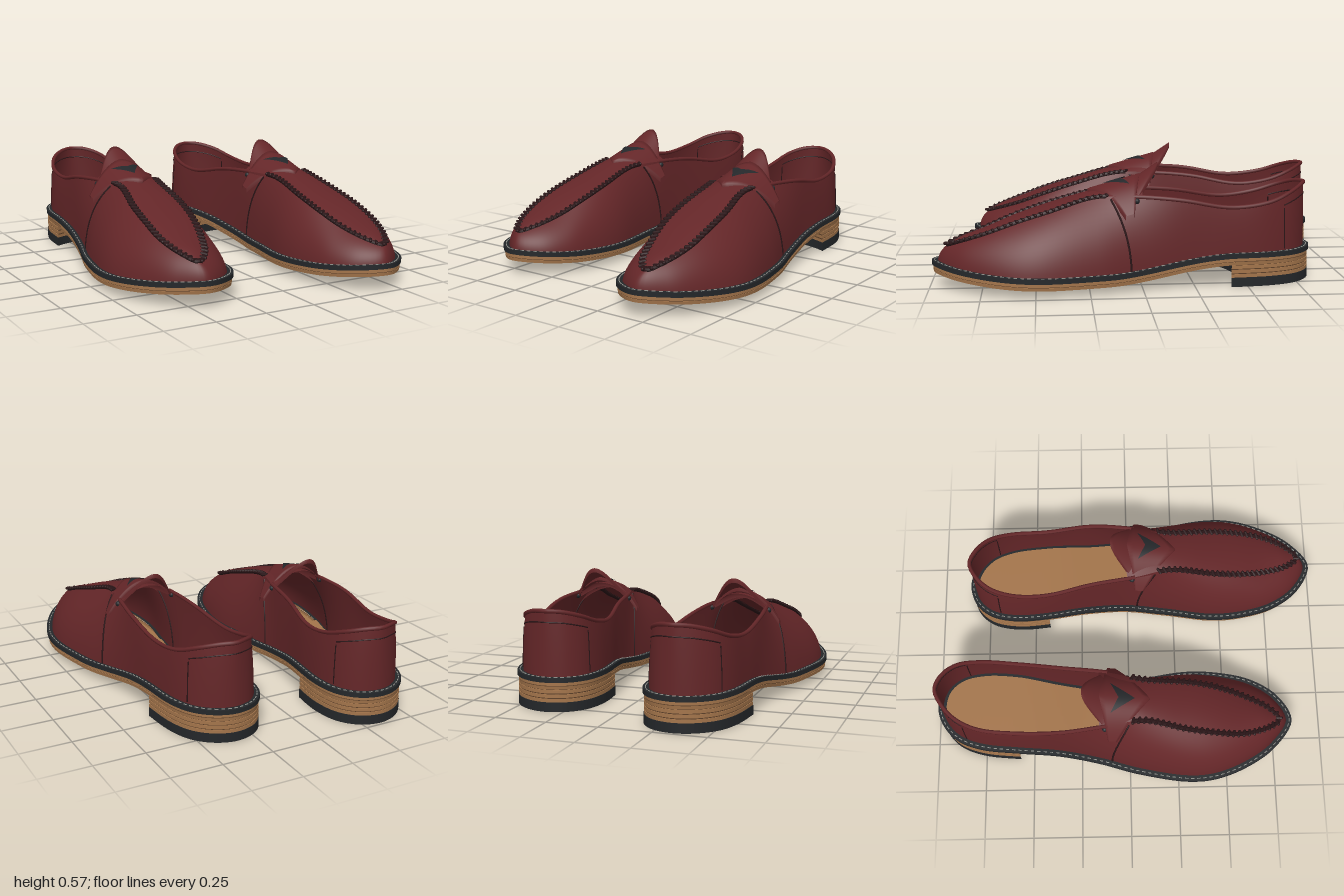
import * as THREE from 'three';
import { mergeGeometries, mergeVertices } from 'three/addons/utils/BufferGeometryUtils.js';

const mat = (name, color) => {
  const m = new THREE.MeshStandardMaterial({ color, side: THREE.DoubleSide });
  m.name = name;
  return m;
};
const V = (x, y, z) => new THREE.Vector3(x, y, z);
const lerp = THREE.MathUtils.lerp;
const smooth = THREE.MathUtils.smoothstep;

// Matching points from the toe, round the outer side, the heel and the inner side:
// sole outline x, z, then the upper's top edge x, y, z
const POINTS = [
  [.435, .99, .45, .20, .915], [.57, .90, .50, .225, .85], [.66, .77, .54, .27, .72],
  [.725, .60, .545, .32, .58], [.737, .45, .535, .365, .43], [.695, .2, .505, .425, .22],
  [.64, 0, .53, .43, .04], [.605, -.2, .555, .415, -.18], [.59, -.42, .545, .375, -.42],
  [.565, -.62, .525, .395, -.61], [.515, -.74, .475, .435, -.72], [.43, -.815, .40, .46, -.785],
  [.335, -.84, .335, .465, -.81], [.235, -.81, .265, .46, -.78], [.165, -.73, .205, .435, -.71],
  [.135, -.6, .178, .395, -.59], [.145, -.42, .185, .375, -.42], [.185, -.2, .225, .415, -.18],
  [.205, 0, .255, .43, .04], [.185, .2, .295, .425, .22], [.15, .45, .295, .365, .45],
  [.16, .62, .31, .315, .6], [.205, .79, .345, .26, .74], [.3, .925, .395, .22, .86],
];
const N = POINTS.length;
const outlineCurve = new THREE.CatmullRomCurve3(POINTS.map(p => V(p[0], 0, p[1])), true);
const topCurve = new THREE.CatmullRomCurve3(POINTS.map(p => V(p[2], p[3], p[4])), true);
const wrap = u => (((u % N) + N) % N) / N;
const top = u => topCurve.getPoint(wrap(u));

// Outward direction of the outline, and the outline moved along it
const outward = u => {
  const t = outlineCurve.getTangent(wrap(u));
  return V(-t.z, 0, t.x).normalize();
};
const outline = (u, offset) => outlineCurve.getPoint(wrap(u)).addScaledVector(outward(u), offset);

// Underside of the sole: toe spring in front, arch rising to the heel
const soleY = z => .035 + .07 * (1 - smooth(z, -.45, .15)) + (z > .4 ? .04 * ((z - .4) / .6) ** 2 : 0);
const WELT = .055;

// Side wall of the upper, v from the welt to the top edge
function wall(u, v) {
  const b = outline(u, -.028), t = top(u);
  b.y = soleY(b.z) + WELT - .005;
  const m = b.clone().lerp(t, .13);
  m.y = lerp(b.y, t.y, .6);
  return b.multiplyScalar((1 - v) ** 2).addScaledVector(m, 2 * v * (1 - v)).addScaledVector(t, v * v);
}

// Grid surface from f(a, b), both from 0 to 1
function surface(f, na, nb) {
  const pos = [], index = [];
  for (let i = 0; i <= na; i++) for (let j = 0; j <= nb; j++) {
    pos.push(...f(i / na, j / nb).toArray());
    if (i < na && j < nb) {
      const k = i * (nb + 1) + j;
      index.push(k, k + nb + 1, k + 1, k + 1, k + nb + 1, k + nb + 2);
    }
  }
  let g = new THREE.BufferGeometry();
  g.setAttribute('position', new THREE.Float32BufferAttribute(pos, 3));
  g.setIndex(index);
  g = mergeVertices(g, 1e-5);
  g.computeVertexNormals();
  return g;
}
// Surface with its b edges turned down, for a thick look
const plate = (f, na, nb, drop) => surface((a, b) => {
  const j = Math.round(b * (nb + 2));
  const p = f(a, THREE.MathUtils.clamp((j - 1) / nb, 0, 1));
  if (j === 0 || j === nb + 2) p.y -= drop;
  return p;
}, na, nb + 2);
// Strip round the sole between two offsets and heights above its underside
const band = (o0, h0, o1, h1) => surface((a, b) => {
  const p = outline(a * N, lerp(o0, o1, b));
  p.y = soleY(p.z) + lerp(h0, h1, b);
  return p;
}, 144, 1);
// Filled sole shape, from station s0 back to the heel
const cap = (offset, h, s0) => surface((a, b) => {
  const s = lerp(s0, N / 2, a);
  const p = outline(s, offset).lerp(outline(N - s, offset), b);
  p.y = soleY(p.z) + h;
  return p;
}, 60, 8);
const tube = (f, r, n) => new THREE.TubeGeometry(
  new THREE.CatmullRomCurve3(Array.from({ length: n + 1 }, (_, i) => f(i / n))), n * 2, r, 6);

// Heel block layer with a hollowed breast
function heelLayer(offset, y0, y1) {
  const pts = [];
  for (let i = 0; i <= 48; i++) {
    const p = outline(8 + i / 6, offset);
    pts.push(new THREE.Vector2(p.x, p.z));
  }
  const a = pts[48], b = pts[0];
  for (let i = 1; i < 12; i++) {
    const t = i / 12;
    pts.push(new THREE.Vector2(lerp(a.x, b.x, t), lerp(a.y, b.y, t) - .24 * t * (1 - t)));
  }
  return new THREE.ExtrudeGeometry(new THREE.Shape(pts), { depth: y1 - y0, bevelEnabled: false })
    .rotateX(Math.PI / 2).translate(0, y1, 0);
}

const flapY = (x, z) => .522 - .28 * z - .15 * ((x - .4) / .19) ** 2;

function buildShoe(M) {
  const shoe = new THREE.Group();
  const add = (name, geo, material) => {
    const m = new THREE.Mesh(geo, material);
    m.name = name;
    shoe.add(m);
  };

  // Sole layers and welt
  add('outsole', cap(-.008, 0, 0), M.tan);
  add('soleEdgeLower', band(-.008, 0, -.006, .015), M.tan);
  add('soleEdgeLine', band(-.009, .015, -.009, .018), M.brown);
  add('soleEdgeUpper', band(-.006, .018, -.006, .033), M.tan);
  add('weltUnderside', band(-.012, .033, 0, .033), M.black);
  add('weltEdge', band(0, .033, 0, WELT), M.black);
  add('weltTop', band(0, WELT, -.045, WELT), M.black);
  add('insole', cap(-.045, WELT + .01, 5), M.tan);

  // Stacked heel
  add('heelTip', heelLayer(-.004, 0, .045), M.black);
  for (let i = 0; i < 3; i++) {
    const y = .045 + i * .021;
    add('heelLayer', heelLayer(-.006, y, y + .016), M.tan);
    add('heelLayerLine', heelLayer(-.01, y + .016, y + .021), M.brown);
  }

  // Upper: side wall, apron, collar roll
  add('upper', surface((a, b) => wall(a * N, b), 144, 14), M.leather);
  add('apron', surface((a, b) => {
    const k = a * 6.2, p = top(k).lerp(top(N - k), b);
    p.y += (.015 + .045 * smooth(a, .75, 1)) * Math.min(1, 5 * a) * 4 * b * (1 - b);
    return p;
  }, 40, 14), M.leather);
  add('collar', tube(t => top(lerp(6, 18, t)), .01, 40), M.leather);

  // Tongue rising behind the flap
  add('tongue', plate((b, a) => {
    const bell = Math.sin(Math.PI * b) ** 1.2;
    return V(lerp(.255, .535, b), .425 + bell * (.06 + .09 * a), .05 - a * (.03 + .105 * bell));
  }, 24, 8, .022), M.leather);

  // Pointed flap across the instep with its dark inset
  add('instepFlap', plate((a, b) => {
    const w = a * 2 - 1, x = .4 + .19 * w;
    const z = lerp(.25 - .17 * Math.abs(w), .04 * Math.abs(w), b);
    return V(x, flapY(x, z), z);
  }, 24, 8, .022), M.leather);
  add('flapInset', surface((a, b) => {
    const r = 1 - Math.abs(2 * a - 1), x = lerp(.33, .48, a), z = .055 + lerp(.12, .04, b) * r;
    return V(x, flapY(x, z) + .005, z);
  }, 12, 4), M.black);

  // Side seams, heel stitching and strap studs, on both sides
  for (const side of [u => u, u => N - u]) {
    add('sideSeam', tube(t => wall(side(lerp(5.75, 5.4, t * t)), t * .95), .005, 10), M.seam);
    add('counterSeam', tube(t => wall(side(9.6), lerp(.04, .75, t)), .003, 8), M.seam);
    const stud = wall(side(6.05), .93);
    add('strapStud', new THREE.SphereGeometry(.014, 12, 8).translate(stud.x, stud.y, stud.z), M.black);
  }
  add('heelSeam', tube(t => wall(lerp(9.6, 14.4, t), .8), .003, 24), M.seam);

  // Raised apron seam with slanted overstitching
  const seamU = t => lerp(-5.3, 5.3, t);
  add('apronSeam', tube(t => top(seamU(t)), .011, 40), M.seam);
  const seamPath = new THREE.CatmullRomCurve3(Array.from({ length: 61 }, (_, i) => top(seamU(i / 60))));
  const stitches = [];
  for (let i = 0; i <= 56; i++) {
    const p = seamPath.getPointAt(i / 56), t = seamPath.getTangentAt(i / 56);
    const across = V(-t.z, 0, t.x).normalize().addScaledVector(t, .4).normalize();
    const q = new THREE.Quaternion().setFromUnitVectors(V(0, 1, 0), across);
    stitches.push(new THREE.CapsuleGeometry(.008, .024, 3, 6).applyQuaternion(q).translate(p.x, p.y + .006, p.z));
  }
  add('apronStitches', mergeGeometries(stitches), M.seam);

  // Pale dashes along the welt
  const dashes = [];
  for (let i = 0; i < 130; i++) {
    const at = outlineCurve.getUtoTmapping(i / 130) * N;
    const p = outline(at, -.013), n = outward(at);
    dashes.push(new THREE.BoxGeometry(.004, .004, .017).rotateY(Math.atan2(-n.z, n.x))
      .translate(p.x, soleY(p.z) + WELT + .001, p.z));
  }
  add('weltStitches', mergeGeometries(dashes), M.thread);
  return shoe;
}

export function createModel() {
  const M = {
    leather: mat('oxblood leather', 0x642628),
    seam: mat('dark seam', 0x2a1517),
    black: mat('black rubber', 0x24272a),
    tan: mat('tan leather', 0xa4754b),
    brown: mat('brown edge', 0x5c3f28),
    thread: mat('pale thread', 0x8f908a),
  };
  const model = new THREE.Group();
  model.name = 'loafers';
  const left = buildShoe(M);
  left.name = 'leftShoe';
  // Right shoe is a mirror image set slightly back
  const right = buildShoe(M);
  right.name = 'rightShoe';
  right.scale.x = -1;
  right.position.z = -.15;
  model.add(left, right);
  return model;
}
